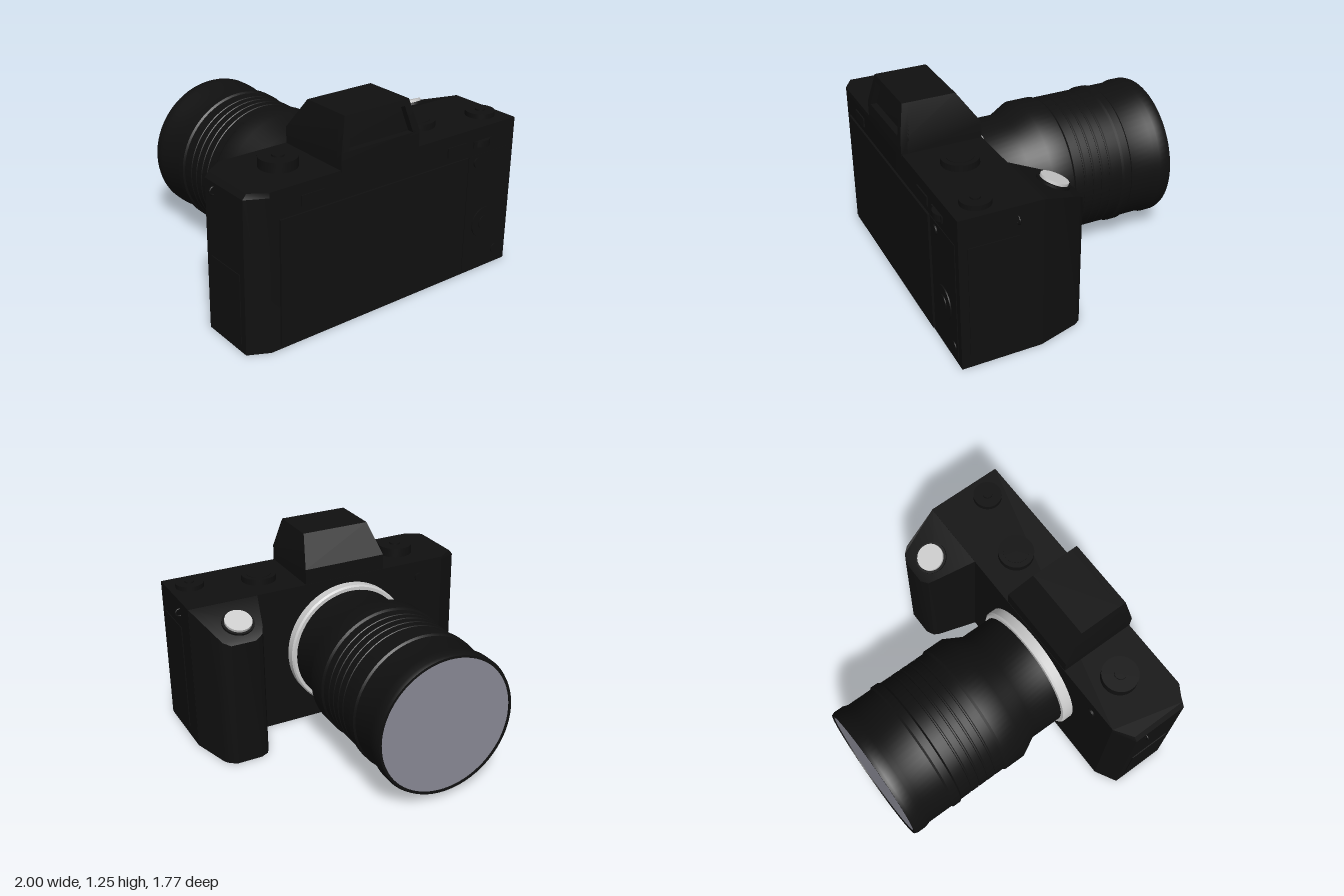
import * as THREE from 'three';
import { toCreasedNormals } from 'three/addons/utils/BufferGeometryUtils.js';

const mat = (color) => new THREE.MeshStandardMaterial({ color });

export function createModel() {
  const group = new THREE.Group();
  group.name = 'camera';
  const black = mat(0x101010);
  const grey = mat(0xcccccc);
  const glass = mat(0x888894);

  const add = (name, geo, material = black) => {
    const mesh = new THREE.Mesh(toCreasedNormals(geo, 0.5), material);
    mesh.name = name;
    group.add(mesh);
    return mesh;
  };
  const box = (name, x0, x1, y0, y1, z0, z1) => add(name,
    new THREE.BoxGeometry(x1 - x0, y1 - y0, z1 - z0)
      .translate((x0 + x1) / 2, (y0 + y1) / 2, (z0 + z1) / 2));
  const shapeOf = (pts) => new THREE.Shape(pts.map(([x, y]) => new THREE.Vector2(x, y)));
  // extrude a plan outline of [x, z] points upward from y0 to y1
  const plan = (pts, y0, y1) =>
    new THREE.ExtrudeGeometry(shapeOf(pts.map(([x, z]) => [x, -z])), { depth: y1 - y0, bevelEnabled: false })
      .rotateX(-Math.PI / 2).translate(0, y0, 0);
  // move every vertex by a rule
  const warp = (geo, rule) => {
    const p = geo.attributes.position;
    const v = new THREE.Vector3();
    for (let i = 0; i < p.count; i++) {
      v.fromBufferAttribute(p, i);
      rule(v);
      p.setXYZ(i, v.x, v.y, v.z);
    }
    return geo;
  };
  // turned part around the lens axis, profile of [radius, z] running forward (-z)
  const AX = -0.105, AY = 0.497;
  const turned = (name, profile, material) => add(name,
    new THREE.LatheGeometry(profile.map(([r, z]) => new THREE.Vector2(r, -z)), 72)
      .rotateX(-Math.PI / 2).translate(AX, AY, 0), material);

  // body, with a chamfered upper edge on the -x end
  const outline = [[-0.975, 0.43], [-0.84, 0.355], [0.965, 0.355], [0.965, 0.852], [-0.85, 0.852], [-0.975, 0.79]];
  add('body', plan(outline, 0, 0.93));
  add('topPlate', warp(plan(outline, 0.93, 0.96), (v) => {
    if (v.y > 0.95 && v.x < -0.9) v.x += 0.025;
  }));

  // hand grip with a top that slopes down toward the finger side
  const gripOutline = [[0.51, 0.36], [0.59, 0.1], [0.61, 0.065], [0.66, 0.04], [0.82, 0.04], [0.865, 0.065],
    [0.89, 0.1], [0.965, 0.36]];
  add('grip', warp(plan(gripOutline, 0, 0.96), (v) => {
    if (v.y > 0.5) v.y = v.z >= 0.1 ? 0.87 + (v.z - 0.1) * 0.346 : 0.82 + (v.z - 0.04) * 0.83;
  }));

  // shutter button lying on the slope
  const shutter = (name, r, h, lift, material) => {
    const m = add(name, new THREE.CylinderGeometry(r, r, h, 40).translate(0, lift, 0), material);
    m.position.set(0.72, 0.895, 0.17);
    m.rotation.x = -0.42 + 0.84; // leans toward -z below
    m.rotation.x = -0.4;
  };
  shutter('shutterCollar', 0.1, 0.02, -0.002, black);
  shutter('shutterButton', 0.085, 0.022, 0.014, grey);

  // viewfinder hump: straight base, tapered top
  add('viewfinderHump', warp(new THREE.BoxGeometry(1, 2, 1, 1, 2, 1), (v) => {
    const top = v.y > 0.5;
    v.x = v.x < 0 ? (top ? -0.335 : -0.385) : (top ? 0.12 : 0.175);
    v.z = v.z < 0 ? (top ? 0.49 : 0.357) : (top ? 0.775 : 0.815);
    v.y = top ? 1.25 : v.y < -0.5 ? 0.95 : 1.06;
  }));

  // eyepiece frame with a recessed window
  const frame = shapeOf([[-0.385, 0.95], [0.175, 0.95], [0.175, 1.06], [0.12, 1.25], [-0.335, 1.25], [-0.385, 1.06]]);
  frame.holes.push(new THREE.Path([[-0.335, 1.06], [-0.3, 1.215], [0.085, 1.215], [0.125, 1.06]]
    .map(([x, y]) => new THREE.Vector2(x, y))));
  add('eyepieceFrame', warp(new THREE.ExtrudeGeometry(frame, { depth: 0.05, bevelEnabled: false }), (v) => {
    v.z += 0.805 - Math.max(0, v.y - 1.06) * 0.21;
  }));

  // lens mount ring, barrel and front glass
  turned('mountRing', [[0.36, 0.36], [0.42, 0.36], [0.42, 0.3], [0.41, 0.288], [0.36, 0.288]], grey);
  const barrel = [[0.34, 0.29], [0.39, 0.285], [0.39, 0.07], [0.452, -0.05], [0.452, -0.185], [0.442, -0.2]];
  for (let z = -0.26; z > -0.5; z -= 0.06) {
    barrel.push([0.442, z], [0.438, z - 0.004], [0.438, z - 0.012], [0.442, z - 0.016]);
  }
  barrel.push([0.442, -0.53], [0.452, -0.542], [0.452, -0.59], [0.442, -0.602], [0.442, -0.77], [0.453, -0.805],
    [0.453, -0.865], [0.445, -0.885], [0.43, -0.885], [0.43, -0.865]);
  turned('lensBarrel', barrel);
  turned('frontGlass', [[0.432, -0.878], [0, -0.878]], glass);

  // top dials: x, z, radius, top height, knob radius, knob top
  [
    ['leftDial', -0.61, 0.59, 0.113, 1.02, 0.037, 1.03],
    ['rightDial', 0.4, 0.59, 0.112, 1.0, 0.08, 1.003],
    ['rearDial', 0.83, 0.69, 0.09, 0.99, 0.03, 1.0],
  ].forEach(([name, x, z, r, top, kr, ktop]) => {
    add(name, new THREE.CylinderGeometry(r, r, top - 0.95, 40).translate(x, (top + 0.95) / 2, z));
    add(name + 'Cap', new THREE.CylinderGeometry(kr, kr, ktop - 0.95, 32).translate(x, (ktop + 0.95) / 2, z));
  });

  // rear screen, thumb panel and buttons
  box('screen', -0.79, 0.575, 0.02, 0.79, 0.84, 0.865);
  box('thumbPanel', 0.59, 0.92, 0.02, 0.79, 0.84, 0.856);
  [[-0.65, -0.5, 0.83, 0.89], [0.41, 0.56, 0.83, 0.89], [0.62, 0.77, 0.84, 0.88]]
    .forEach(([x0, x1, y0, y1]) => box('rearKey', x0, x1, y0, y1, 0.84, 0.86));
  [['controlPad', 0.75, 0.32, 0.1, 0.863], ['controlPadCentre', 0.75, 0.32, 0.045, 0.868],
    ['rearButton', 0.66, 0.74, 0.03, 0.865], ['rearButton', 0.87, 0.1, 0.03, 0.862]]
    .forEach(([name, x, y, r, z]) => add(name,
      new THREE.CylinderGeometry(r, r, 0.03, 32).rotateX(Math.PI / 2).translate(x, y, z - 0.015)));
  add('thumbWheel', new THREE.CylinderGeometry(0.075, 0.075, 0.04, 32).translate(0.7, 0.86, 0.807));

  // small button on the lens side
  add('lensSideButton', new THREE.CylinderGeometry(0.028, 0.028, 0.04, 24)
    .rotateX(Math.PI / 2).translate(-0.66, 0.85, 0.362));

  // side doors and strap rings
  box('leftSideDoor', -0.981, -0.96, 0.05, 0.48, 0.48, 0.75);
  box('rightSideDoor', 0.95, 0.97, 0.07, 0.78, 0.5, 0.8);
  for (const x of [-0.972, 0.97]) {
    add('strapRing', new THREE.TorusGeometry(0.023, 0.006, 10, 28).translate(x, 0.88, 0.51));
  }
  return group;
}
